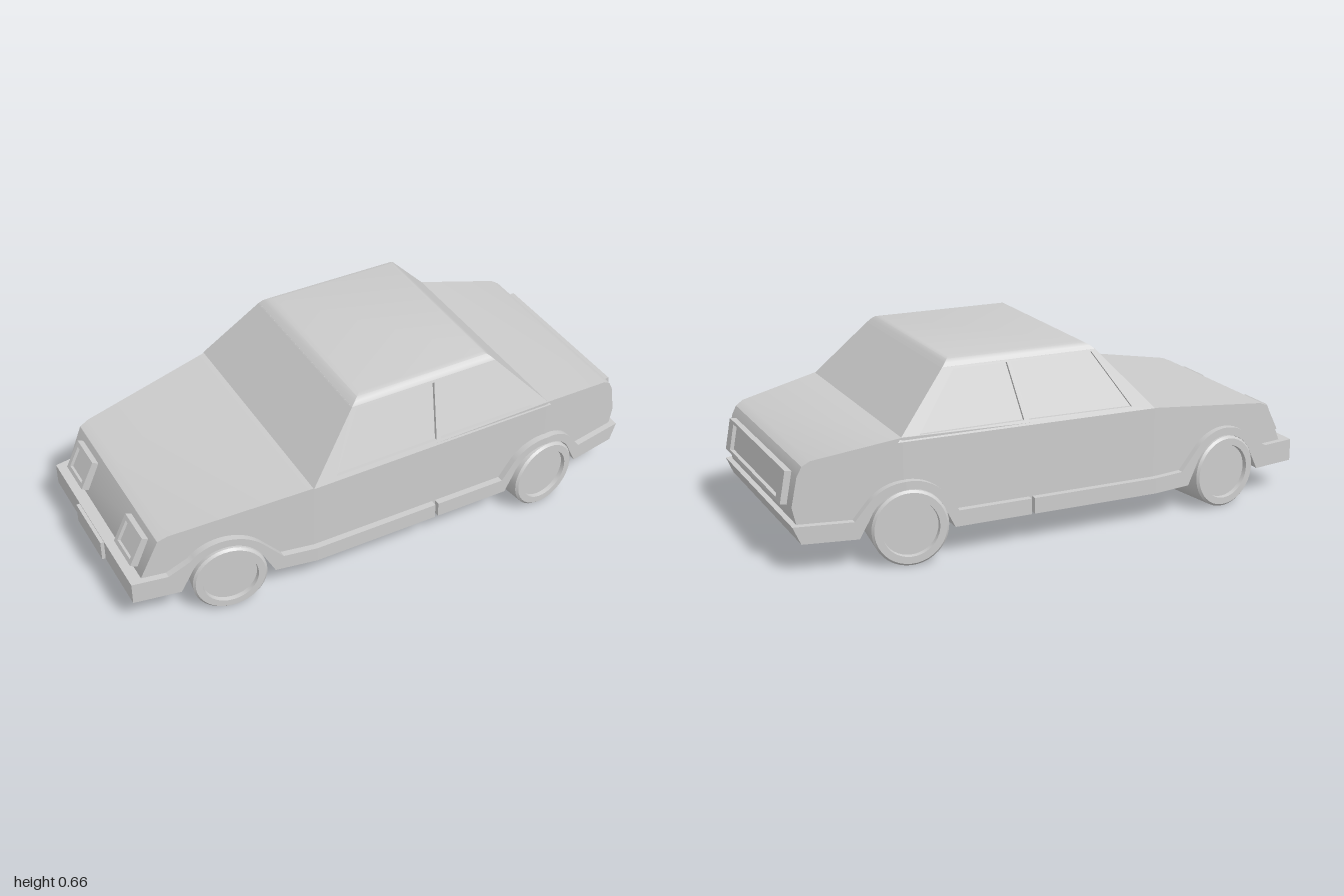
import * as THREE from 'three';
import { toCreasedNormals } from 'three/addons/utils/BufferGeometryUtils.js';
import { ConvexGeometry } from 'three/addons/geometries/ConvexGeometry.js';

const FRONT_X = -0.655, REAR_X = 0.6;      // wheel centres
const NOSE_CUT = -0.34, TAIL_CUT = 0.61;   // where the sides start to taper

const material = new THREE.MeshStandardMaterial({ color: 0xcccccc });

function mesh(name, geometry) {
  const m = new THREE.Mesh(geometry, material);
  m.name = name;
  return m;
}

const toShape = (pts) => new THREE.Shape(pts.map(([x, y]) => new THREE.Vector2(x, y)));

// Half width of the lower body in plan
function halfWidth(x) {
  if (x < NOSE_CUT) return 0.445 + (x - NOSE_CUT) * 0.172;
  if (x > TAIL_CUT) return 0.445 - (x - TAIL_CUT) * 0.19;
  return 0.445;
}

// Half width of the cabin, leaning inwards with height
const cabinWidth = (y) => 0.445 - (y - 0.43) * 0.424;

// Side profile extruded across the car, its width set by a rule
function acrossCar(shape, widthAt) {
  const geo = new THREE.ExtrudeGeometry(shape, { depth: 2, bevelEnabled: false });
  geo.translate(0, 0, -1);
  const p = geo.attributes.position;
  for (let i = 0; i < p.count; i++) p.setZ(i, p.getZ(i) * widthAt(p.getX(i), p.getY(i)));
  return toCreasedNormals(geo, 0.5);
}

// Keeps the part of a profile on one side of a vertical line
function clip(pts, x, keepRight) {
  const inside = (p) => (keepRight ? p[0] >= x : p[0] <= x);
  const out = [];
  pts.forEach((a, i) => {
    const b = pts[(i + 1) % pts.length];
    if (inside(a)) out.push(a);
    if (inside(a) !== inside(b)) {
      const t = (x - a[0]) / (b[0] - a[0]);
      out.push([x, a[1] + t * (b[1] - a[1])]);
    }
  });
  return out;
}

const section = (pts, x0, x1) => toShape(clip(clip(pts, x0, true), x1, false));

function arc(cx, cy, r, fromDeg, toDeg, n = 14) {
  return Array.from({ length: n + 1 }, (_, i) => {
    const a = THREE.MathUtils.degToRad(fromDeg + ((toDeg - fromDeg) * i) / n);
    return [cx + r * Math.cos(a), cy + r * Math.sin(a)];
  });
}

// Wheel opening, rear to front
const opening = (cx, base, r) =>
  [[cx + 0.165, base], ...arc(cx, 0.125, r, 20, 160), [cx - 0.165, base]];

// Rectangular surround with a recessed panel, facing +z
function framedPanel(name, w, h, bx, by, depth, inset) {
  const g = new THREE.Group();
  g.name = name;
  const rect = (a, b) => [[-a, -b], [a, -b], [a, b], [-a, b]];
  const outer = toShape(rect(w / 2, h / 2));
  outer.holes.push(toShape(rect(w / 2 - bx, h / 2 - by)));
  g.add(mesh(name + 'Surround', new THREE.ExtrudeGeometry(outer, { depth, bevelEnabled: false })));
  const panel = mesh(name + 'Panel', new THREE.BoxGeometry(w - 2 * bx - 0.012, h - 2 * by - 0.008, inset));
  panel.position.z = inset / 2;
  g.add(panel);
  g.rotation.order = 'YXZ';
  return g;
}

export function createModel() {
  const car = new THREE.Group();
  car.name = 'car';

  // Lower body with wheel openings
  const bodyProfile = [
    [-0.945, 0.115], [-0.945, 0.19], [-0.88, 0.335], [-0.845, 0.35], [-0.338, 0.42],
    [0.612, 0.44], [0.91, 0.385], [0.938, 0.368], [0.955, 0.335], [0.975, 0.23], [0.95, 0.115],
    ...opening(REAR_X, 0.115, 0.144), ...opening(FRONT_X, 0.115, 0.144),
  ];
  [['frontBody', -1, NOSE_CUT], ['middleBody', NOSE_CUT, TAIL_CUT], ['rearBody', TAIL_CUT, 1]]
    .forEach(([name, a, b]) => car.add(mesh(name, acrossCar(section(bodyProfile, a, b), halfWidth))));

  // Bumpers, arch flares and sills in one raised band
  const trimProfile = [
    [-0.987, 0.108], [-0.987, 0.19], [-0.86, 0.19], ...arc(FRONT_X, 0.125, 0.17, 140, 40), [-0.46, 0.165],
    [0.42, 0.165], ...arc(REAR_X, 0.125, 0.17, 140, 40), [0.78, 0.17], [0.982, 0.17], [0.955, 0.108],
    ...opening(REAR_X, 0.108, 0.14), ...opening(FRONT_X, 0.108, 0.14),
  ];
  [['frontBumperAndArches', -1, NOSE_CUT], ['frontSill', NOSE_CUT, 0.138],
    ['rearSill', 0.15, TAIL_CUT], ['rearBumperAndArches', TAIL_CUT, 1]]
    .forEach(([name, a, b]) => car.add(mesh(name,
      acrossCar(section(trimProfile, a, b), (x) => halfWidth(x) + 0.024))));

  // Cabin with side window openings
  const cabin = toShape([[-0.34, 0.42], [0.627, 0.425], [0.43, 0.636], [-0.145, 0.636]]);
  cabin.holes.push(
    toShape([[-0.25, 0.436], [0.148, 0.44], [0.178, 0.628], [-0.13, 0.628]]),
    toShape([[0.166, 0.44], [0.548, 0.44], [0.392, 0.628], [0.194, 0.628]]));
  car.add(mesh('cabinPillars', acrossCar(cabin, (x, y) => cabinWidth(y))));
  const glass = toShape([[-0.285, 0.425], [0.575, 0.425], [0.405, 0.633], [-0.135, 0.633]]);
  car.add(mesh('sideWindows', acrossCar(glass, (x, y) => cabinWidth(y) - 0.012)));

  // Roof with softened edges: [y, front x, rear x, half width]
  const roofPoints = [];
  [[0.634, -0.147, 0.432, 0.3585], [0.648, -0.131, 0.418, 0.35], [0.658, -0.115, 0.406, 0.338],
    [0.662, -0.098, 0.394, 0.322]].forEach(([y, x0, x1, z]) => {
    for (const x of [x0, x1]) for (const s of [-1, 1]) roofPoints.push(new THREE.Vector3(x, y, s * z));
  });
  car.add(mesh('roof', toCreasedNormals(new ConvexGeometry(roofPoints), 0.6)));

  // Wheels, set parallel to the tapering sides
  const wheelProfile = [[0, -0.225], [0.125, -0.225], [0.133, -0.217], [0.133, -0.008], [0.125, 0],
    [0.1, 0], [0.098, -0.016], [0, -0.016]].map(([r, y]) => new THREE.Vector2(r, y));
  const wheelGeo = toCreasedNormals(new THREE.LatheGeometry(wheelProfile, 40).rotateX(Math.PI / 2), 0.5);
  for (const [end, x, z, toe] of [['front', FRONT_X, 0.432, -0.16], ['rear', REAR_X, 0.481, 0.13]]) {
    for (const s of [1, -1]) {
      const wheel = mesh(end + (s > 0 ? 'LeftWheel' : 'RightWheel'), wheelGeo);
      wheel.position.set(x, 0.133, s * z);
      wheel.rotation.y = s > 0 ? toe : Math.PI - toe;
      car.add(wheel);
    }
  }

  // Headlights on the sloping nose
  for (const s of [1, -1]) {
    const lamp = framedPanel(s > 0 ? 'leftHeadlight' : 'rightHeadlight', 0.145, 0.115, 0.018, 0.016, 0.034, 0.026);
    lamp.position.set(-0.908, 0.255, s * 0.225);
    lamp.rotation.set(-0.46, -Math.PI / 2, 0);
    car.add(lamp);
  }

  // Tail light panel
  const tail = framedPanel('tailPanel', 0.65, 0.115, 0.05, 0.01, 0.03, 0.018);
  tail.position.set(0.959, 0.28, 0);
  tail.rotation.set(-0.18, Math.PI / 2, 0);
  car.add(tail);

  // Blank plate on the front bumper
  const plate = mesh('frontPlate', new THREE.BoxGeometry(0.02, 0.076, 0.23));
  plate.position.set(-0.99, 0.149, -0.005);
  car.add(plate);

  return car;
}
